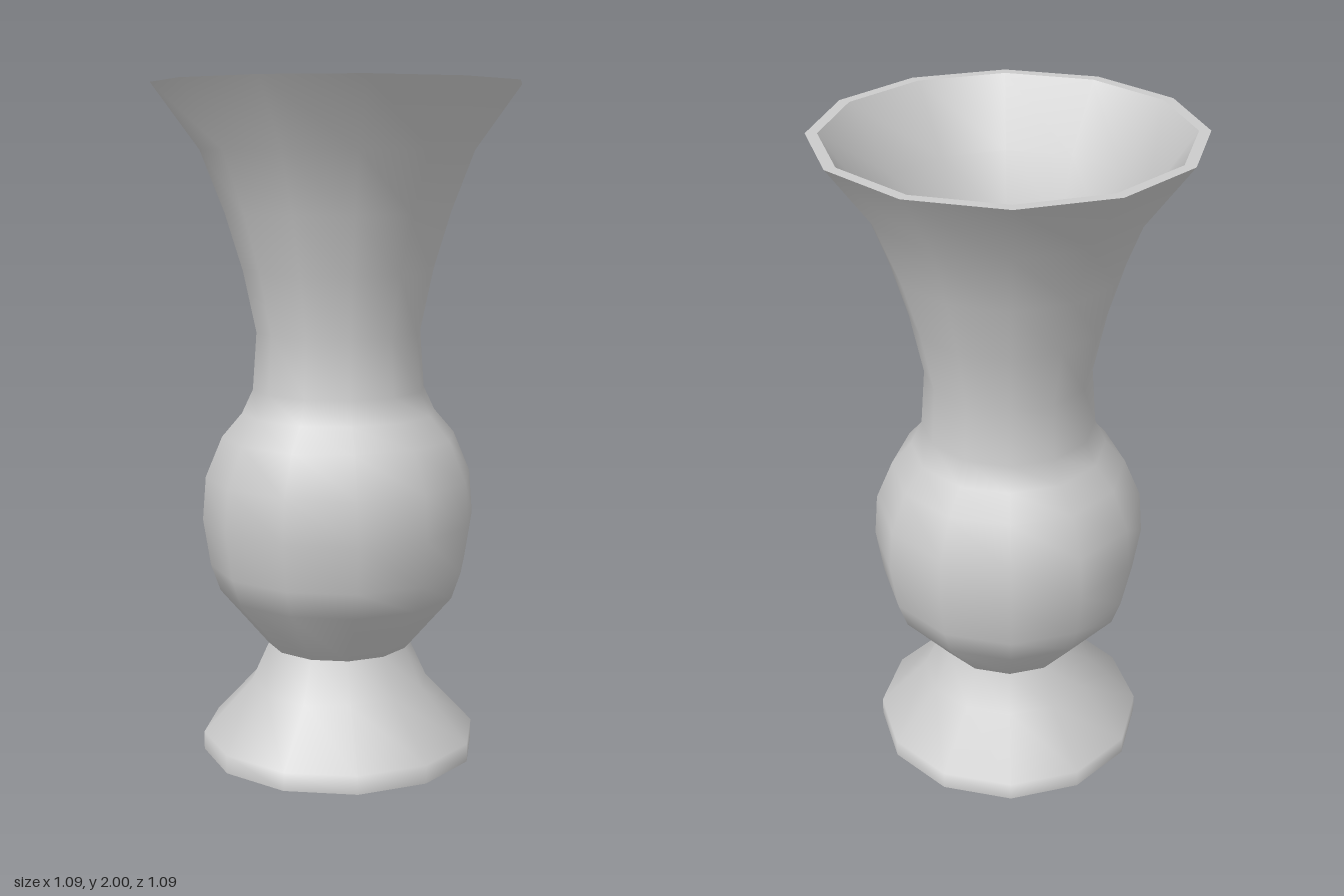
import * as THREE from 'three';

const SIDES = 12;
const material = new THREE.MeshStandardMaterial({ color: 0xcccccc });

// One smooth run of the turned profile; edges between runs stay sharp.
function turned(name, profile) {
  const points = profile.map(([r, y]) => new THREE.Vector2(r, y));
  const mesh = new THREE.Mesh(new THREE.LatheGeometry(points, SIDES), material);
  mesh.name = name;
  return mesh;
}

// Horizontal disc facing up (+1) or down (-1).
function disc(name, radius, y, facing) {
  const geometry = new THREE.CircleGeometry(radius, SIDES).rotateX(-facing * Math.PI / 2);
  const mesh = new THREE.Mesh(geometry, material);
  mesh.name = name;
  mesh.position.y = y;
  return mesh;
}

export function createModel() {
  const vase = new THREE.Group();
  vase.name = 'vase';

  // Underside and flared foot
  vase.add(disc('underside', 0.415, 0, -1));
  vase.add(turned('foot', [[0.415, 0], [0.415, 0.055], [0.27, 0.21], [0.215, 0.33]]));

  // Round belly, narrow neck and flaring mouth
  vase.add(turned('body', [
    [0.215, 0.33], [0.36, 0.5], [0.388, 0.58], [0.41, 0.72], [0.4, 0.85], [0.35, 0.97],
    [0.29, 1.04], [0.257, 1.11], [0.245, 1.28], [0.283, 1.46], [0.335, 1.63],
    [0.405, 1.81], [0.543, 2],
  ]));

  // Flat lip, inner wall and the floor inside the neck
  vase.add(turned('rim', [[0.543, 2], [0.51, 2]]));
  vase.add(turned('innerWall', [
    [0.51, 2], [0.38, 1.81], [0.312, 1.63], [0.262, 1.46], [0.225, 1.28],
  ]));
  vase.add(disc('innerFloor', 0.225, 1.28, 1));

  return vase;
}
